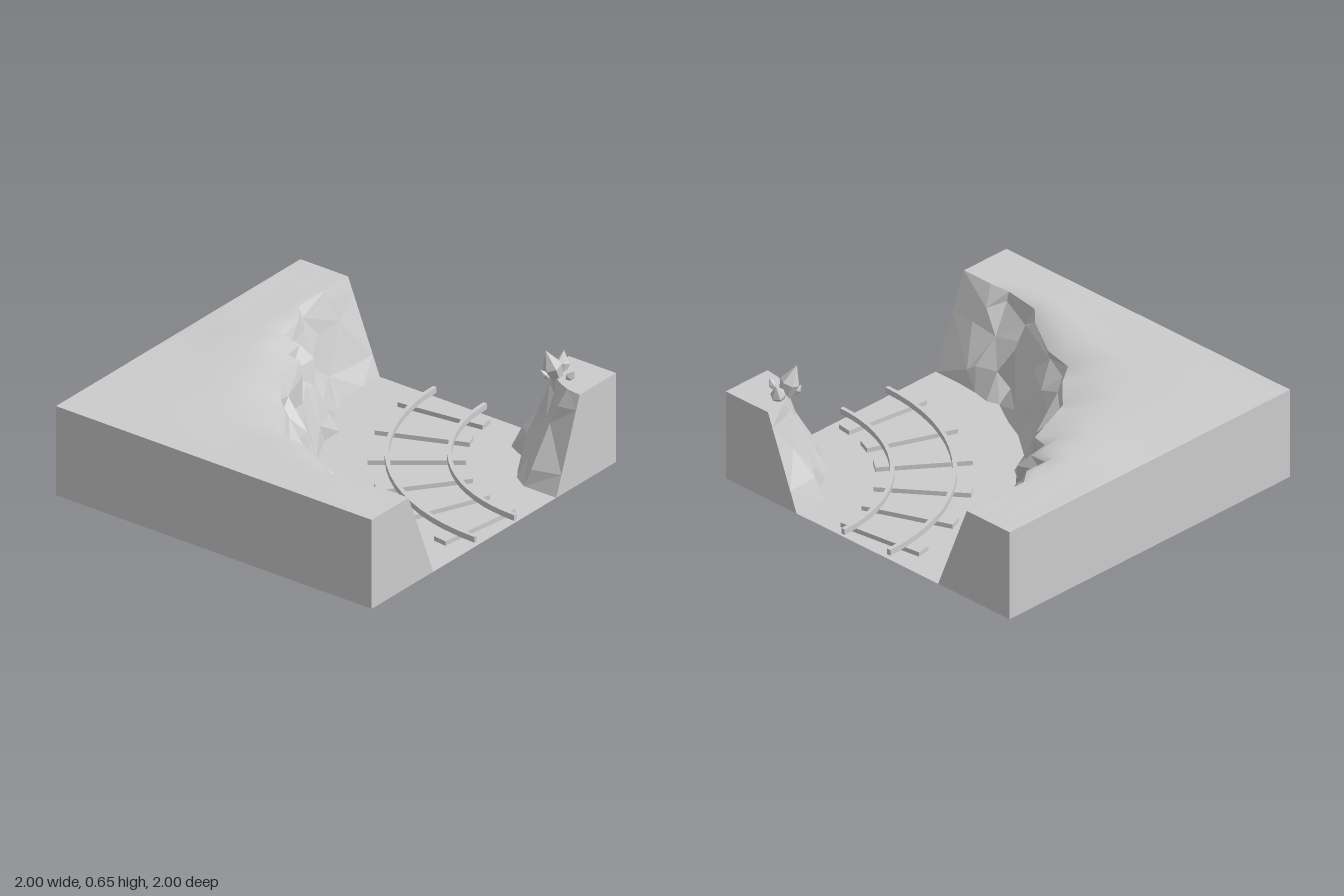
import * as THREE from 'three';

const E = 0.985, TOP = 0.5;
const stone = new THREE.MeshStandardMaterial({ color: 0xcccccc, side: THREE.DoubleSide });
stone.name = 'light grey';

let seed = 7;
const rand = () => {
  seed = (seed * 16807) % 2147483647;
  return seed / 2147483647 - 0.5;
};
const V = (x, y, z) => new THREE.Vector3(x, y, z);

function addMesh(parent, name, geometry) {
  const mesh = new THREE.Mesh(geometry, stone);
  mesh.name = name;
  parent.add(mesh);
  return mesh;
}

// Skin rows of equally many points; faceted or smooth
function skin(rows, smooth = false) {
  const n = rows[0].length, index = [];
  for (let r = 0; r < rows.length - 1; r++) {
    for (let i = 0; i < n - 1; i++) {
      const a = r * n + i, b = a + 1, c = a + n, d = c + 1;
      if ((r + i) % 2) index.push(a, b, d, a, d, c);
      else index.push(a, b, c, b, d, c);
    }
  }
  let g = new THREE.BufferGeometry().setFromPoints(rows.flat());
  g.setIndex(index);
  if (!smooth) g = g.toNonIndexed();
  g.computeVertexNormals();
  return g;
}

// Cliff rows from foot to lip; the two end columns stay straight
function cliffRows(columns, rough) {
  return [0, 0.22, 0.6, 0.85, 1].map((t) => columns.map(([bx, bz, tx, tz, ty], i) => {
    const free = t > 0 && t < 1 && i > 0 && i < columns.length - 1;
    const j = free ? rough : 0;
    return V(bx + (tx - bx) * t + rand() * j, ty * t + rand() * j, bz + (tz - bz) * t + rand() * j);
  }));
}

// foot x, foot z, lip x, lip z, lip height
const mainCliff = [
  [-0.5, -E, -0.7, -E, 0.5], [-0.5, -0.85, -0.7, -0.8, 0.5], [-0.52, -0.7, -0.7, -0.58, 0.5],
  [-0.43, -0.55, -0.62, -0.48, 0.49], [-0.38, -0.42, -0.6, -0.33, 0.47], [-0.3, -0.4, -0.49, -0.32, 0.46],
  [-0.3, -0.28, -0.47, -0.2, 0.46], [-0.2, -0.08, -0.38, -0.18, 0.46], [-0.1, 0, -0.31, 0.06, 0.49],
  [0.02, 0.08, -0.23, 0.17, 0.44], [0.09, 0.22, -0.1, 0.3, 0.47], [0.25, 0.34, 0.02, 0.46, 0.44],
  [0.38, 0.4, 0.2, 0.5, 0.44], [0.53, 0.49, 0.42, 0.63, 0.46], [0.6, 0.47, 0.49, 0.7, 0.48],
  [0.7, 0.49, 0.69, 0.72, 0.49], [0.82, 0.5, 0.8, 0.7, 0.5], [E, 0.5, E, 0.7, 0.5],
];
const cornerCliff = [
  [0.49, -E, 0.69, -E, 0.5], [0.47, -0.8, 0.69, -0.88, 0.5], [0.57, -0.75, 0.72, -0.82, 0.5],
  [0.65, -0.62, 0.77, -0.77, 0.5], [0.7, -0.55, 0.83, -0.73, 0.5], [0.78, -0.5, 0.9, -0.7, 0.5],
  [E, -0.5, E, -0.69, 0.5],
];

// Gentle mounds on the plateau
function mound(x, z) {
  const bump = (cx, cz, r, h) => h * Math.exp(-((x - cx) ** 2 + (z - cz) ** 2) / (r * r));
  return bump(-0.68, -0.12, 0.2, 0.024) + bump(-0.55, 0.6, 0.25, 0.011) + bump(0.5, 0.84, 0.2, 0.007);
}

// Rail: rectangular section swept along a quarter circle
function rail(cx, cz, radius) {
  const w = 0.011, low = 0.025, high = 0.057, rows = [], n = 18;
  const section = [[-w, low], [-w, high], [w, high], [w, low], [-w, low]];
  for (let i = 0; i <= n; i++) {
    const a = (i / n) * Math.PI / 2;
    rows.push(section.map(([d, y]) => V(cx - (radius + d) * Math.cos(a), y, cz + (radius + d) * Math.sin(a))));
  }
  return [skin(rows), ...[rows[0], rows[n]].map((s) => skin([[s[0], s[1]], [s[3], s[2]]]))];
}

// Pointed crystal standing at base and leaning to tip
function crystal(base, tip, radius) {
  const axis = tip.clone().sub(base), h = axis.length();
  const profile = [[0, 0], [radius * 0.55, 0], [radius, h * 0.45], [0, h]];
  let g = new THREE.LatheGeometry(profile.map(([x, y]) => new THREE.Vector2(x, y)), 6);
  g = g.toNonIndexed();
  g.computeVertexNormals();
  g.applyQuaternion(new THREE.Quaternion().setFromUnitVectors(V(0, 1, 0), axis.normalize()));
  return g.translate(base.x, base.y, base.z);
}

export function createModel() {
  const model = new THREE.Group();
  model.name = 'railwayCanyon';

  // Canyon floor between the cliff feet
  const outline = [...mainCliff, ...[...cornerCliff].reverse()].map((c) => new THREE.Vector2(c[0], c[1]));
  addMesh(model, 'floor', new THREE.ShapeGeometry(new THREE.Shape(outline)).rotateX(Math.PI / 2));

  // Cliffs
  const main = cliffRows(mainCliff, 0.075), corner = cliffRows(cornerCliff, 0.06);
  addMesh(model, 'mainCliff', skin(main));
  addMesh(model, 'cornerCliff', skin(corner));

  // Plateau from the lip to the outer edge
  const lip = main[main.length - 1], mid = 10, last = lip.length - 1;
  const rim = lip.map((p, i) => i <= mid
    ? V(-1, TOP, -E + (1 + E) * i / mid)
    : V(-1 + (1 + E) * (i - mid) / (last - mid), TOP, 1));
  const plateau = [0, 0.12, 0.3, 0.45, 0.6, 0.75, 0.9, 1].map((t) => lip.map((p, i) => {
    const q = p.clone().lerp(rim[i], t);
    if (t > 0) q.y = TOP + (t < 1 && i > 0 && i < last ? mound(q.x, q.z) + rand() * 0.004 : 0);
    return q;
  }));
  addMesh(model, 'plateau', skin(plateau, true));
  const cornerLip = corner[corner.length - 1];
  addMesh(model, 'cornerTop', skin([cornerLip, cornerLip.map(() => V(E, TOP, -E))]));

  // Straight outer walls
  const wall = (name, x1, z1, x2, z2) => addMesh(model, name,
    skin([[V(x1, 0, z1), V(x2, 0, z2)], [V(x1, TOP, z1), V(x2, TOP, z2)]]));
  wall('sideWall', -1, -E, -1, 1);
  wall('frontWall', -1, 1, E, 1);

  // Cut faces that follow the cliff profiles
  const cut = (name, rows, i, x, z) => {
    const edge = rows.map((row) => row[i]);
    addMesh(model, name, skin([edge, edge.map((p) => V(x, p.y, z))]));
  };
  cut('backCut', main, 0, -1, -E);
  cut('sideCut', main, last, E, 1);
  cut('cornerBackCut', corner, 0, E, -E);
  cut('cornerSideCut', corner, cornerCliff.length - 1, E, -E);

  // Curved track
  const track = new THREE.Group();
  track.name = 'track';
  model.add(track);
  rail(E, -E, 1.14).forEach((g) => addMesh(track, 'outerRail', g));
  rail(1, -1, 0.85).forEach((g) => addMesh(track, 'innerRail', g));
  for (let i = 0; i < 6; i++) {
    const a = THREE.MathUtils.degToRad(7.5 + 15 * i);
    const tie = addMesh(track, 'sleeper', new THREE.BoxGeometry(0.49, 0.025, 0.08));
    tie.position.set(E - 0.99 * Math.cos(a), 0.0135, -E + 0.99 * Math.sin(a));
    tie.rotation.y = a;
  }

  // Crystals on the corner rock
  const crystals = new THREE.Group();
  crystals.name = 'crystals';
  model.add(crystals);
  [
    [V(0.77, 0.48, -0.79), V(0.735, 0.65, -0.735), 0.052],
    [V(0.75, 0.48, -0.84), V(0.735, 0.59, -0.885), 0.04],
    [V(0.83, 0.49, -0.79), V(0.87, 0.55, -0.795), 0.022],
    [V(0.74, 0.49, -0.75), V(0.715, 0.54, -0.72), 0.018],
  ].forEach(([base, tip, r]) => addMesh(crystals, 'crystal', crystal(base, tip, r)));

  return model;
}
